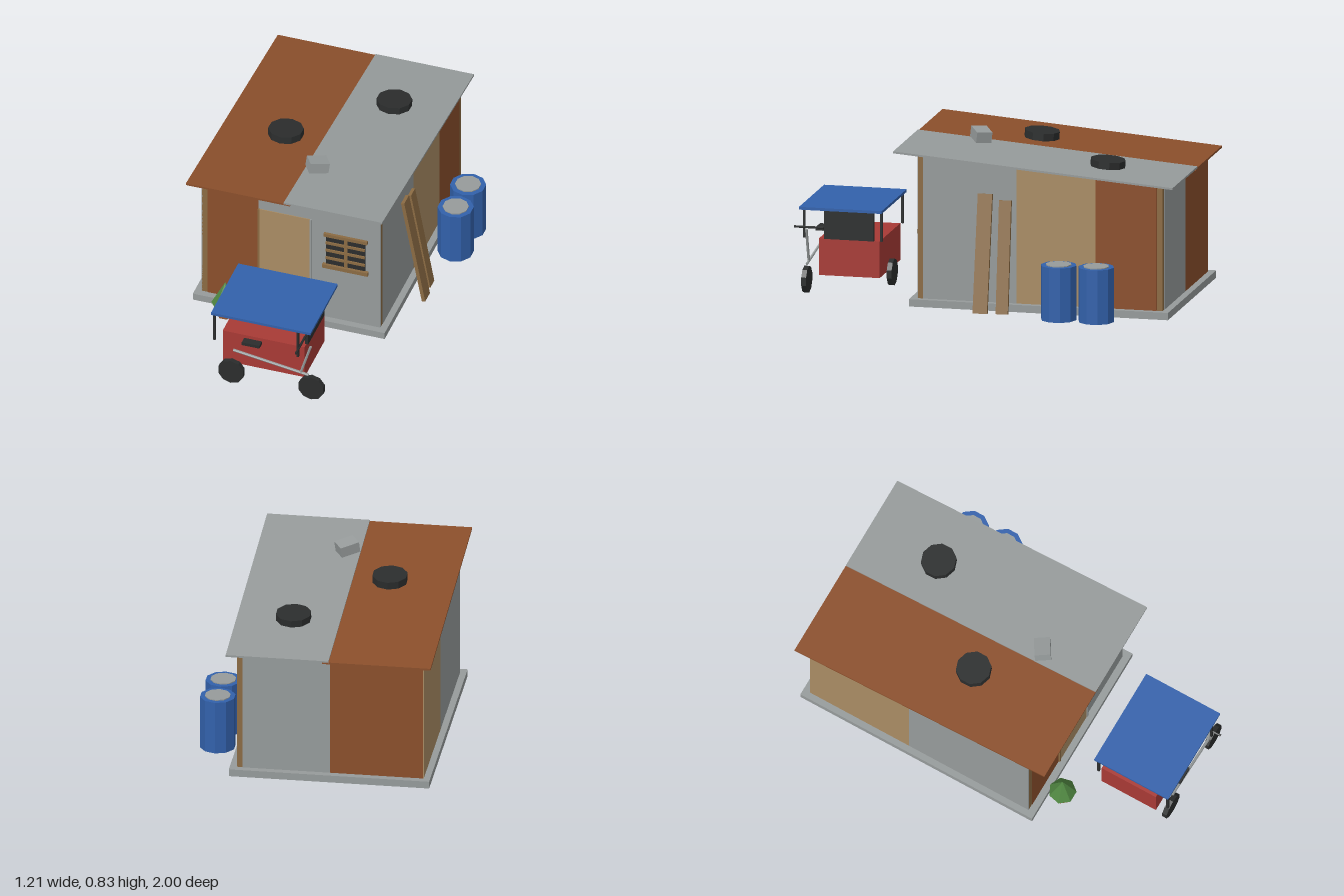
import * as THREE from 'three';

const makeMaterial = (name, color) => {
  const m = new THREE.MeshStandardMaterial({ color });
  m.name = name;
  return m;
};

export function createModel() {
  const model = new THREE.Group();
  model.name = 'workshopShed';

  const grey = makeMaterial('sheetGrey', 0x969b9b);
  const rust = makeMaterial('rustBrown', 0x8b4f2b);
  const tan = makeMaterial('plywoodTan', 0xa98c64);
  const wood = makeMaterial('wood', 0x8b6b43);
  const dark = makeMaterial('rubberBlack', 0x2b2d2d);
  const blue = makeMaterial('tarpBlue', 0x3261ab);
  const red = makeMaterial('cartRed', 0xa83a35);
  const green = makeMaterial('leafGreen', 0x4f8540);

  const group = (name) => {
    const g = new THREE.Group();
    g.name = name;
    model.add(g);
    return g;
  };
  const add = (parent, name, geometry, material, x = 0, y = 0, z = 0) => {
    const mesh = new THREE.Mesh(geometry, material);
    mesh.name = name;
    mesh.position.set(x, y, z);
    parent.add(mesh);
    return mesh;
  };
  // Box given by its limits on each axis
  const box = (parent, name, material, x0, x1, y0, y1, z0, z1) =>
    add(parent, name, new THREE.BoxGeometry(x1 - x0, y1 - y0, z1 - z0), material,
      (x0 + x1) / 2, (y0 + y1) / 2, (z0 + z1) / 2);
  // Faceted cylinder or cone
  const drum = (parent, name, material, rTop, rBottom, h, sides, x, y, z) => {
    const geo = new THREE.CylinderGeometry(rTop, rBottom, h, sides).toNonIndexed();
    geo.computeVertexNormals();
    return add(parent, name, geo, material, x, y, z);
  };

  // Roof line: falls towards the back
  const slope = 0.078;
  const roofY = (z) => 0.785 - slope * (0.43 - z);
  // Box whose top (and bottom, if a function) follows the roof line
  const sloped = (parent, name, material, x0, x1, z0, z1, low, high) => {
    const geo = new THREE.BoxGeometry(x1 - x0, 1, z1 - z0);
    geo.translate((x0 + x1) / 2, 0, (z0 + z1) / 2);
    const p = geo.attributes.position;
    for (let i = 0; i < p.count; i++) p.setY(i, p.getY(i) > 0 ? high(p.getZ(i)) : low(p.getZ(i)));
    geo.computeVertexNormals();
    return add(parent, name, geo, material);
  };

  // Shed: slab, posts, wall sheets
  const shed = group('shed');
  box(shed, 'floorSlab', grey, -0.595, 0.411, 0, 0.037, -0.973, 0.353);
  const wall = (name, material, x0, x1, z0, z1) =>
    sloped(shed, name, material, x0, x1, z0, z1, () => 0.037, (z) => roofY(z) - 0.012);
  for (const x of [-0.56, 0.346])
    for (const z of [-0.936, 0.287]) wall('cornerPost', wood, x, x + 0.03, z, z + 0.028);
  wall('frontSheetRust', rust, -0.53, -0.263, 0.307, 0.317);
  wall('frontSheetGrey', grey, -0.263, 0.376, 0.307, 0.317);
  wall('rightSheetGrey', grey, 0.367, 0.378, -0.19, 0.287);
  wall('rightSheetTan', tan, 0.367, 0.378, -0.595, -0.19);
  wall('rightSheetRust', rust, 0.367, 0.378, -0.906, -0.595);
  wall('leftSheetTan', tan, -0.563, -0.552, -0.936, -0.37);
  wall('leftSheetGrey', grey, -0.563, -0.552, -0.37, 0.315);
  wall('backSheetRust', rust, -0.56, -0.092, -0.939, -0.928);
  wall('backSheetGrey', grey, -0.092, 0.346, -0.939, -0.928);

  // Roof sheets, the grey one lapping over the other
  const roof = (name, material, x0, x1, lift) =>
    sloped(shed, name, material, x0, x1, -1, 0.43,
      (z) => roofY(z) + lift - 0.01, (z) => roofY(z) + lift);
  roof('roofSheetRust', rust, -0.606, -0.06, -0.003);
  roof('roofSheetGrey', grey, -0.093, 0.423, 0.003);

  // Door
  box(shed, 'door', tan, -0.257, 0.008, 0.037, 0.627, 0.314, 0.321);
  box(shed, 'doorHingePost', wood, -0.265, -0.255, 0.037, 0.627, 0.314, 0.325);
  box(shed, 'doorEdge', grey, 0.008, 0.018, 0.037, 0.627, 0.314, 0.325);

  // Barred window
  const win = group('window');
  box(win, 'windowPane', dark, 0.092, 0.298, 0.37, 0.55, 0.314, 0.321);
  box(win, 'windowHead', wood, 0.082, 0.311, 0.547, 0.565, 0.314, 0.332);
  box(win, 'windowSill', wood, 0.076, 0.315, 0.353, 0.374, 0.314, 0.335);
  for (const y of [0.413, 0.46, 0.506])
    box(win, 'windowSlat', wood, 0.092, 0.298, y - 0.007, y + 0.007, 0.32, 0.328);
  box(win, 'windowMullion', wood, 0.189, 0.206, 0.37, 0.55, 0.32, 0.327);

  // Tyres and block weighing the roof down
  for (const [x, z] of [[0.14, -0.6], [-0.28, -0.16]])
    drum(shed, 'roofTyre', dark, 0.089, 0.089, 0.038, 10, x, roofY(z) + 0.02, z).rotation.x = -slope;
  add(shed, 'roofBlock', new THREE.BoxGeometry(0.1, 0.055, 0.08), grey, -0.029, 0.796, 0.09)
    .rotation.set(-0.08, 0.56, -0.12);

  // Barrels
  const barrels = group('barrels');
  for (const z of [-0.44, -0.632]) {
    drum(barrels, 'barrel', blue, 0.09, 0.09, 0.277, 10, 0.516, 0.1385, z);
    drum(barrels, 'barrelLid', grey, 0.065, 0.065, 0.01, 10, 0.516, 0.277, z);
  }

  // Planks leaning on the right wall
  const planks = group('planks');
  const plank = (z, width, length, footX, lean, twist) => {
    const mesh = add(planks, 'leaningPlank', new THREE.BoxGeometry(0.018, length, width), wood,
      footX - Math.sin(lean) * length / 2, Math.cos(lean) * length / 2 + 0.002, z);
    mesh.rotation.set(twist, 0, lean);
  };
  plank(-0.033, 0.074, 0.597, 0.497, 0.185, 0);
  plank(-0.139, 0.062, 0.567, 0.485, 0.175, 0.012);

  // Small tree
  const tree = group('tree');
  drum(tree, 'treeTrunk', rust, 0.026, 0.041, 0.08, 7, -0.403, 0.04, 0.418).rotation.y = Math.PI;
  drum(tree, 'treeCrown', green, 0, 0.07, 0.128, 7, -0.403, 0.139, 0.418).rotation.y = Math.PI;

  // Stall: red body, dark side board, blue canopy on posts
  const stall = group('stall');
  box(stall, 'stallBody', red, -0.263, 0.166, 0.08, 0.267, 0.562, 0.872);
  box(stall, 'stallSideBoard', dark, 0.16, 0.176, 0.267, 0.407, 0.59, 0.845);
  box(stall, 'canopy', blue, -0.295, 0.227, 0.421, 0.435, 0.537, 0.96);
  for (const x of [-0.279, 0.157])
    for (const z of [0.555, 0.95])
      box(stall, 'canopyPost', dark, x - 0.006, x + 0.006, 0.265, 0.422, z - 0.006, z + 0.006);

  // Wheels: two on the scooter, one behind the stall
  const scooter = group('scooter');
  const wheel = (parent, name, x, z) => {
    drum(parent, name, dark, 0.068, 0.068, 0.025, 10, x, 0.068, z).rotation.x = Math.PI / 2;
  };
  wheel(scooter, 'rearWheel', -0.2, 0.922);
  wheel(scooter, 'frontWheel', 0.22, 0.922);
  wheel(stall, 'stallWheel', -0.043, 0.549);

  // Scooter frame, fork, seat and handlebar
  const rod = (name, x0, y0, x1, y1) => {
    const length = Math.hypot(x1 - x0, y1 - y0);
    const mesh = drum(scooter, name, grey, 0.007, 0.007, length, 6,
      (x0 + x1) / 2, (y0 + y1) / 2, 0.925);
    mesh.rotation.z = -Math.atan2(x1 - x0, y1 - y0);
  };
  rod('frameTube', -0.19, 0.202, 0.205, 0.142);
  rod('fork', 0.165, 0.152, 0.216, 0.322);
  box(scooter, 'seat', dark, -0.14, -0.047, 0.257, 0.274, 0.903, 0.942);
  drum(scooter, 'handlebar', dark, 0.006, 0.006, 0.15, 6, 0.163, 0.32, 0.925).rotation.x = Math.PI / 2;

  return model;
}
